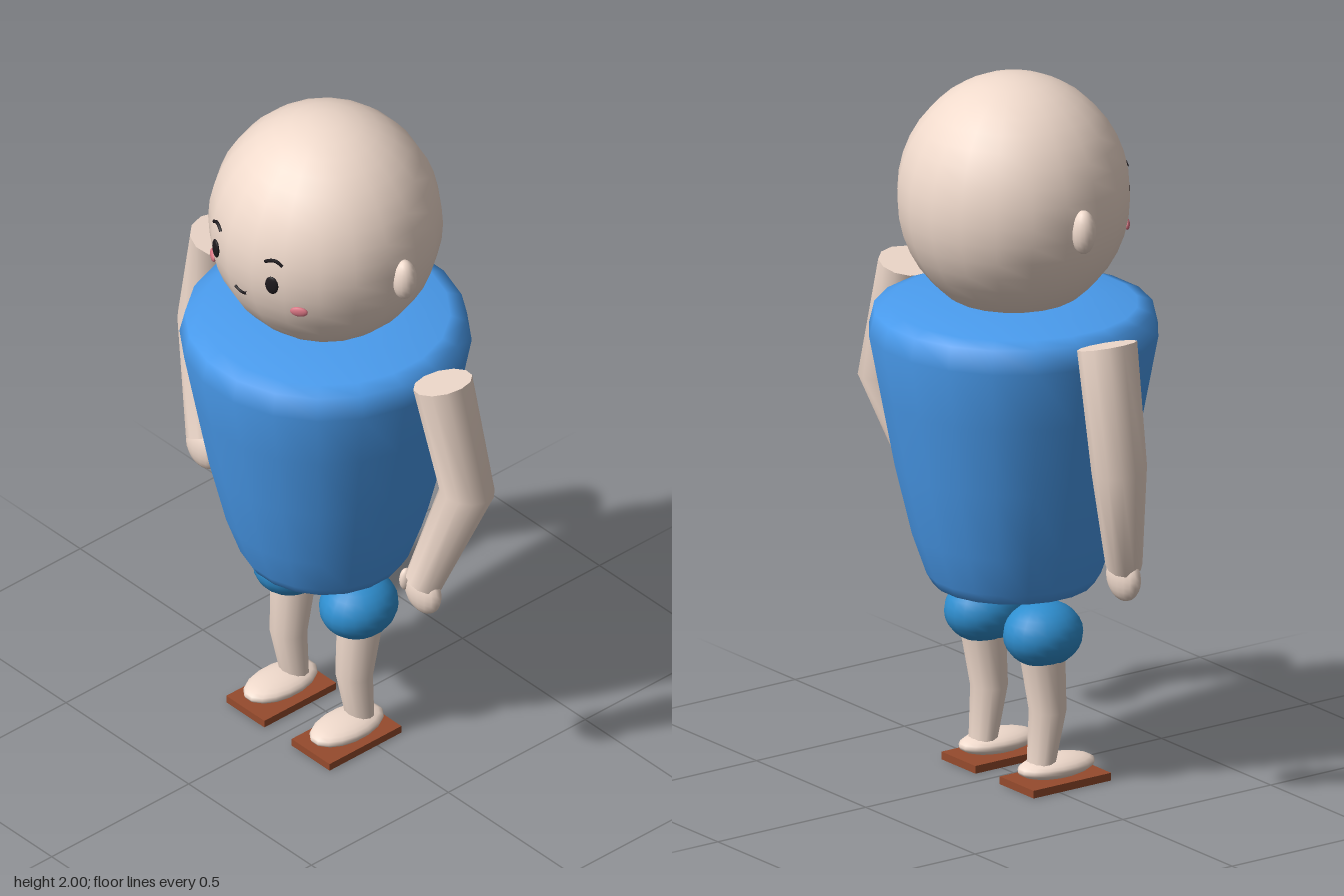
import * as THREE from 'three';

const mat = (color) => new THREE.MeshStandardMaterial({ color });

export function createModel() {
  const model = new THREE.Group();
  const skin = mat(0xf0dacc), shirt = mat(0x4a9cee), shorts = mat(0x2f8fd0);
  const sole = mat(0x964b2d), ink = mat(0x1c181c), blush = mat(0xd87583);

  const add = (name, geometry, material, x = 0, y = 0, z = 0) => {
    const mesh = new THREE.Mesh(geometry, material);
    mesh.name = name;
    mesh.position.set(x, y, z);
    model.add(mesh);
    return mesh;
  };
  const ball = (name, material, [x, y, z], [rx, ry, rz], w = 16, h = 12) =>
    add(name, new THREE.SphereGeometry(1, w, h).rotateY(Math.PI / w).scale(rx, ry, rz), material, x, y, z);

  // Capped limb through oval sections, listed top to bottom: centre c, half-axes u (sideways) and v (forward)
  const limb = (name, sections, material, n = 12) => {
    const pos = [], idx = [];
    const ring = ({ c, u, v }) => {
      const start = pos.length / 3;
      for (let i = 0; i < n; i++) {
        const a = (i / n) * Math.PI * 2;
        for (let k = 0; k < 3; k++) pos.push(c[k] + u[k] * Math.cos(a) + v[k] * Math.sin(a));
      }
      return start;
    };
    const starts = sections.map(ring);
    for (let r = 0; r + 1 < starts.length; r++) {
      for (let i = 0; i < n; i++) {
        const j = (i + 1) % n, a = starts[r], b = starts[r + 1];
        idx.push(a + i, a + j, b + i, a + j, b + j, b + i);
      }
    }
    const top = ring(sections[0]), bottom = ring(sections[sections.length - 1]);
    for (let i = 1; i + 1 < n; i++) {
      idx.push(top, top + i + 1, top + i, bottom, bottom + i, bottom + i + 1);
    }
    const g = new THREE.BufferGeometry();
    g.setAttribute('position', new THREE.Float32BufferAttribute(pos, 3));
    g.setIndex(idx);
    g.computeVertexNormals();
    return add(name, g, material);
  };

  // Torso, wide at the shoulders, closed at both ends
  const profile = [
    [0, 0.545], [0.19, 0.548], [0.222, 0.555], [0.24, 0.585], [0.28, 0.70], [0.328, 0.90],
    [0.366, 1.10], [0.398, 1.27], [0.383, 1.335], [0.34, 1.35], [0.19, 1.375], [0, 1.378],
  ].map(([r, y]) => new THREE.Vector2(r, y));
  add('torso', new THREE.LatheGeometry(profile, 20, Math.PI / 20), shirt);

  // Head
  const R = 0.32, H = 0.34, headY = 1.66;
  ball('head', skin, [0, headY, 0], [R, H, R], 20, 20);
  const faceZ = (x, y) => R * Math.sqrt(1 - (x / R) ** 2 - ((y - headY) / H) ** 2);

  // Thin line lying on the face
  const faceLine = (name, points, r) => {
    const path = points.map(([x, y]) => new THREE.Vector3(x, y, faceZ(x, y) - 0.001));
    add(name, new THREE.TubeGeometry(new THREE.CatmullRomCurve3(path), 10, r, 6), ink);
  };
  faceLine('mouth', [[-0.024, 1.577], [-0.012, 1.571], [0, 1.569], [0.012, 1.571], [0.024, 1.577]], 0.004);

  for (const s of [1, -1]) {
    const side = s > 0 ? 'left' : 'right';

    // Face and ear
    const eye = ball(side + 'Eye', ink, [s * 0.114, 1.648, faceZ(0.114, 1.648)], [0.02, 0.028, 0.007]);
    eye.rotation.y = s * 0.36;
    const cheek = ball(side + 'Cheek', blush, [s * 0.175, 1.57, faceZ(0.175, 1.57)], [0.025, 0.015, 0.008]);
    cheek.rotation.y = s * 0.6;
    faceLine(side + 'Brow', [[s * 0.09, 1.717], [s * 0.105, 1.725], [s * 0.12, 1.727], [s * 0.14, 1.717]], 0.005);
    ball(side + 'Ear', skin, [s * 0.32, 1.635, 0], [0.036, 0.062, 0.034]);

    // Bent arm and hand
    limb(side + 'Arm', [
      { c: [s * 0.455, 1.35, -0.02], u: [0.076, s * 0.02, 0], v: [0, 0, 0.085] },
      { c: [s * 0.535, 1.02, -0.038], u: [0.076, 0, 0], v: [0, 0.01, 0.076] },
      { c: [s * 0.448, 0.71, 0.042], u: [0.048, s * -0.02, 0], v: [0, 0.01, 0.052] },
    ], skin);
    ball(side + 'Hand', skin, [s * 0.445, 0.672, 0.043], [0.066, 0.067, 0.034]);
    ball(side + 'Thumb', skin, [s * 0.394, 0.693, 0.06], [0.016, 0.035, 0.02]);

    // Shorts leg, bent leg, foot and sole
    ball(side + 'ShortsLeg', shorts, [s * 0.135, 0.437, 0], [0.102, 0.092, 0.114], 20, 14);
    limb(side + 'Leg', [
      { c: [s * 0.136, 0.42, -0.008], u: [0.07, 0, 0], v: [0, 0, 0.064] },
      { c: [s * 0.134, 0.215, 0.016], u: [0.056, 0, 0], v: [0, 0, 0.05] },
      { c: [s * 0.133, 0.05, -0.007], u: [0.043, 0, 0], v: [0, 0, 0.037] },
    ], skin);
    ball(side + 'Foot', skin, [s * 0.135, 0.05, 0.044], [0.069, 0.031, 0.122]);
    add(side + 'Sole', new THREE.BoxGeometry(0.155, 0.022, 0.262), sole, s * 0.133, 0.011, 0.043);
  }
  return model;
}
